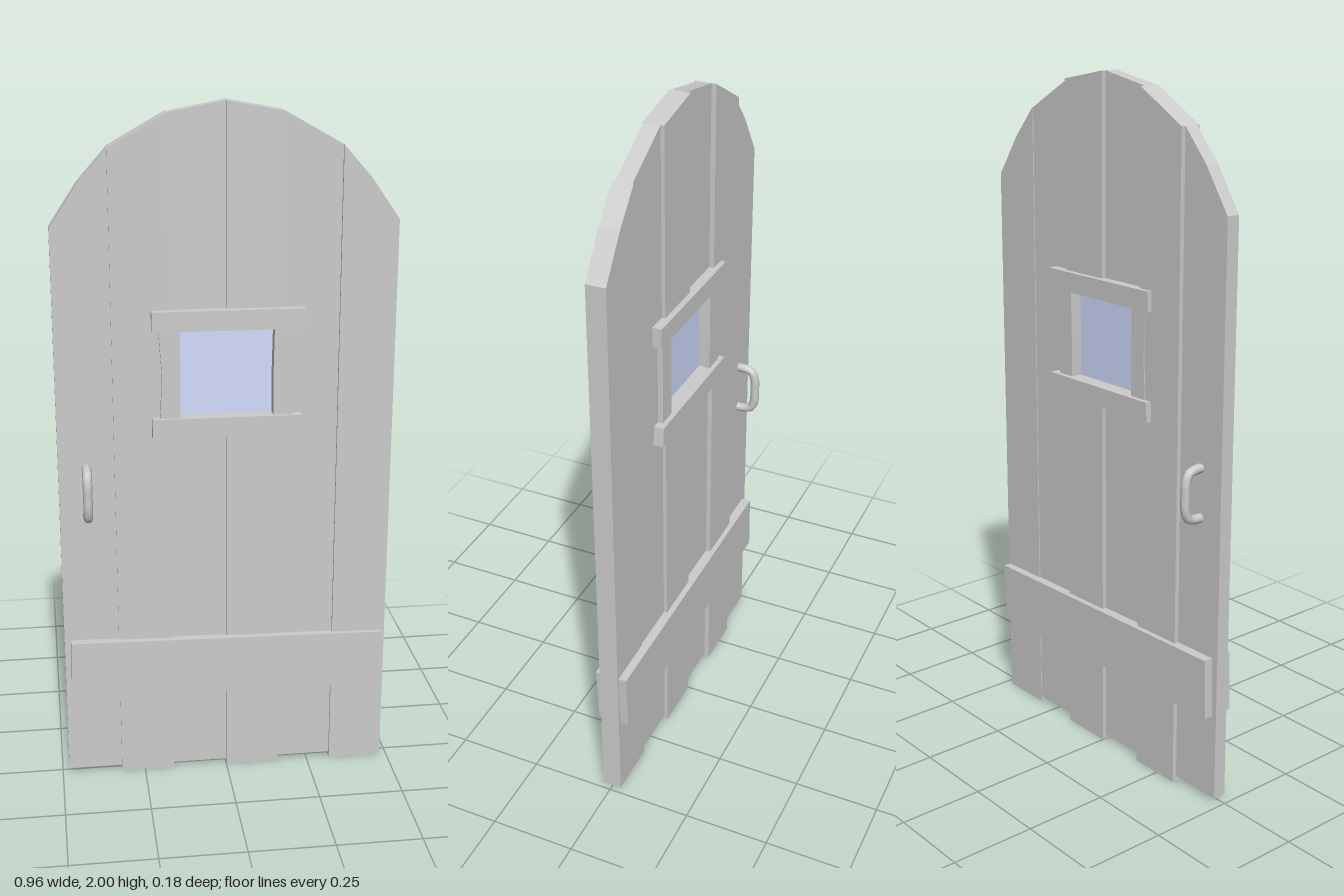
import * as THREE from 'three';

const grey = new THREE.MeshStandardMaterial({ color: 0xcccccc });
const blue = new THREE.MeshStandardMaterial({ color: 0xd2dcff });

// Flat board: outline in x/y, extruded from z0 to z1
function board(name, points, z0, z1, material = grey) {
  const shape = new THREE.Shape(points.map(([x, y]) => new THREE.Vector2(x, y)));
  const geometry = new THREE.ExtrudeGeometry(shape, { depth: z1 - z0, bevelEnabled: false });
  geometry.translate(0, 0, z0);
  const mesh = new THREE.Mesh(geometry, material);
  mesh.name = name;
  return mesh;
}

export function createModel() {
  const door = new THREE.Group();
  door.name = 'door';

  // Arched top line, shared by all planks
  const arch = [[-0.48, 1.67], [-0.4, 1.79], [-0.32, 1.88], [-0.16, 1.97], [0, 2],
    [0.16, 1.97], [0.32, 1.88], [0.4, 1.79], [0.48, 1.675]];
  const windowBottom = 1.1, windowTop = 1.41;

  // Planks with uneven thickness and length: [bottom, back z, front z]
  const planks = [[0.015, -0.022, 0.018], [0, -0.035, 0.026], [0.013, -0.021, 0.02],
    [0, -0.033, 0.026], [0.015, -0.023, 0.023], [0, -0.026, 0.031]];
  planks.forEach(([bottom, z0, z1], i) => {
    const x0 = -0.48 + i * 0.16, x1 = x0 + 0.16;
    const top = arch.filter(([x]) => x > x0 - 0.001 && x < x1 + 0.001).reverse();
    if (i === 2 || i === 3) {
      // The two middle planks are cut for the window
      door.add(board('lowerPlank' + i, [[x0, bottom], [x1, bottom], [x1, windowBottom], [x0, windowBottom]], z0, z1));
      door.add(board('upperPlank' + i, [[x0, windowTop], [x1, windowTop], ...top], z0, z1));
    } else {
      door.add(board('plank' + i, [[x0, bottom], [x1, bottom], ...top], z0, z1));
    }
  });

  // Lower cross brace, slightly tilted
  door.add(board('crossBrace', [[-0.465, 0.27], [0.467, 0.253], [0.475, 0.428], [-0.46, 0.445]], -0.05, 0.045));

  // Window frame: rails and slightly warped posts
  door.add(board('topRail', [[-0.21, 1.38], [0.22, 1.378], [0.22, 1.436], [-0.21, 1.437]], -0.05, 0.048));
  door.add(board('bottomRail', [[-0.212, 1.07], [0.22, 1.07], [0.214, 1.127], [-0.21, 1.128]], -0.052, 0.048));
  door.add(board('rightPost', [[-0.19, 1.1], [-0.132, 1.1], [-0.13, 1.25], [-0.132, 1.4],
    [-0.192, 1.4], [-0.182, 1.25]], -0.038, 0.038));
  door.add(board('leftPost', [[0.133, 1.1], [0.19, 1.1], [0.188, 1.25], [0.19, 1.4],
    [0.135, 1.4], [0.132, 1.25]], -0.038, 0.038));

  // Glass pane
  door.add(board('windowPane', [[-0.14, 1.11], [0.14, 1.11], [0.14, 1.4], [-0.14, 1.4]], -0.004, 0.004, blue));

  // Pull handles on both faces
  for (const side of [1, -1]) {
    const path = [[0, 0.983], [0.045, 0.983], [0.066, 0.976], [0.076, 0.95], [0.077, 0.915],
      [0.076, 0.875], [0.066, 0.85], [0.045, 0.842], [0, 0.842]]
      .map(([z, y]) => new THREE.Vector3(-0.4, y, z * side));
    const curve = new THREE.CatmullRomCurve3(path);
    const handle = new THREE.Mesh(new THREE.TubeGeometry(curve, 32, 0.0135, 10), grey);
    handle.name = side > 0 ? 'frontHandle' : 'backHandle';
    door.add(handle);
  }
  return door;
}
